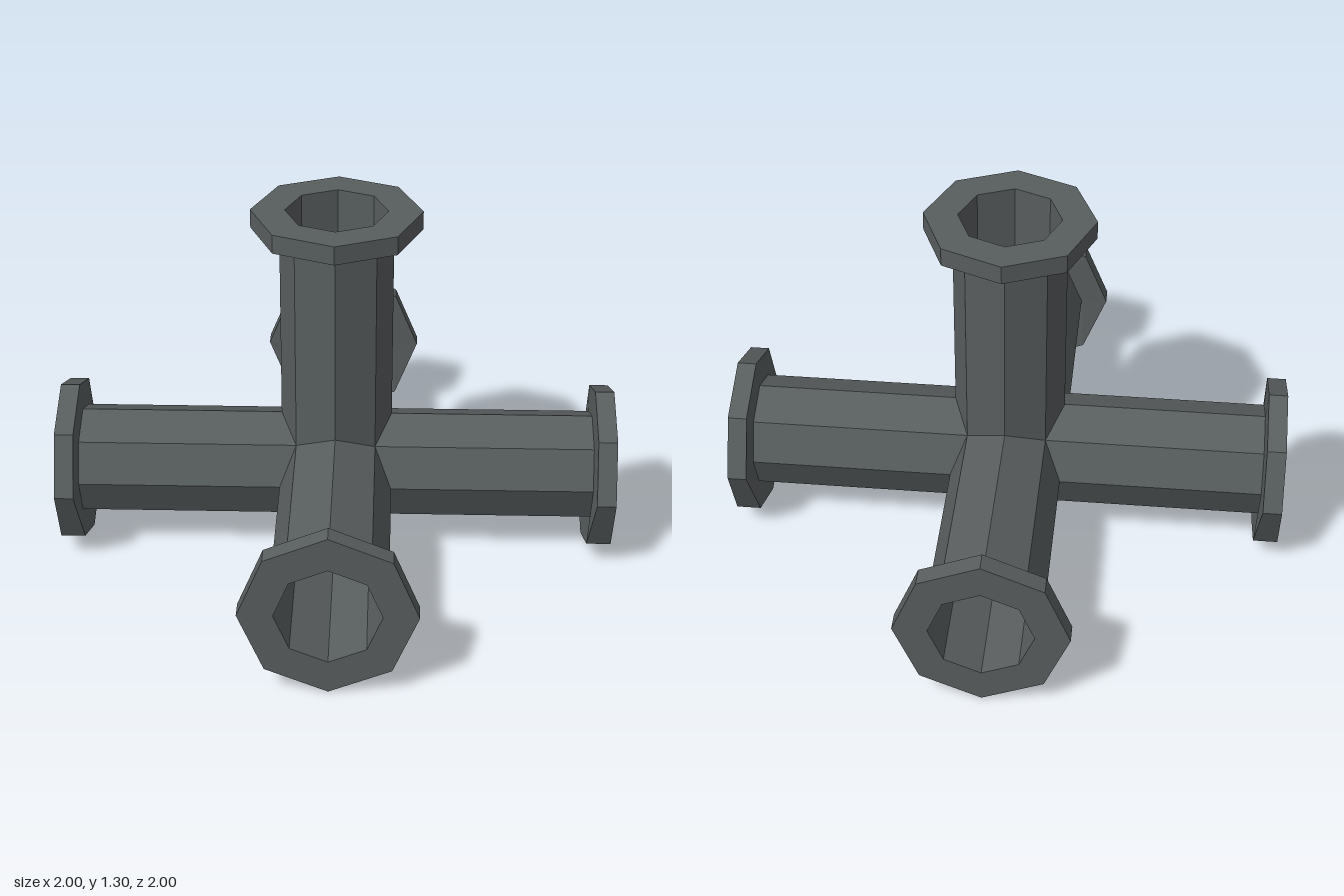
import * as THREE from 'three';

const SIDES = 8, PIPE_R = 0.2, BORE_R = 0.18, RIM_R = 0.3, CENTRE_Y = 0.3;
const UP = new THREE.Vector3(0, 1, 0);
const DIRS = [
  ['right', new THREE.Vector3(-1, 0, 0)],
  ['left', new THREE.Vector3(1, 0, 0)],
  ['front', new THREE.Vector3(0, 0, 1)],
  ['back', new THREE.Vector3(0, 0, -1)],
  ['top', UP],
];

// Joins successive octagonal rings into a faceted skin
function skin(rings) {
  const pos = [];
  for (let j = 0; j < rings.length - 1; j++) {
    for (let k = 0; k < SIDES; k++) {
      const n = (k + 1) % SIDES;
      const a = rings[j][k], b = rings[j][n], c = rings[j + 1][n], d = rings[j + 1][k];
      for (const p of [a, b, c, a, c, d]) pos.push(p.x, p.y, p.z);
    }
  }
  const geo = new THREE.BufferGeometry();
  geo.setAttribute('position', new THREE.Float32BufferAttribute(pos, 3));
  geo.computeVertexNormals();
  return geo;
}

function makeArm(name, axis, material) {
  const vertical = axis === UP;
  const v = vertical ? new THREE.Vector3(0, 0, 1) : UP;
  const u = new THREE.Vector3().crossVectors(v, axis);
  const neighbours = DIRS.map((d) => d[1]).filter((d) => Math.abs(d.dot(axis)) < 0.5);

  // Octagon of radius r; along(point, sine) gives each corner's distance down the arm
  const ring = (r, along) => Array.from({ length: SIDES }, (_, k) => {
    const t = (k / SIDES) * Math.PI * 2;
    const p = new THREE.Vector3().addScaledVector(u, r * Math.cos(t)).addScaledVector(v, r * Math.sin(t));
    return p.addScaledVector(axis, along(p, Math.sin(t)));
  });
  // Mitre where the arm meets its neighbours
  const mitre = (p) => Math.max(...neighbours.map((d) => d.dot(p)));
  // The flange is a little thicker at the bottom of the level arms
  const rimBack = (p, s) => (!vertical && s < -0.1 ? 0.912 : 0.932);

  const root = ring(PIPE_R, () => 0.926);
  const mouth = ring(BORE_R, () => 1);
  const parts = {
    Pipe: [ring(PIPE_R, mitre), root],
    Flange: [root, ring(RIM_R, rimBack), ring(RIM_R, () => 1), mouth],
    Bore: [mouth, ring(BORE_R, mitre)],
  };
  const arm = new THREE.Group();
  arm.name = name + 'Arm';
  for (const [part, rings] of Object.entries(parts)) {
    const mesh = new THREE.Mesh(skin(rings), material);
    mesh.name = name + part;
    arm.add(mesh);
  }
  arm.position.y = CENTRE_Y;
  return arm;
}

export function createModel() {
  const iron = new THREE.MeshStandardMaterial({ color: 0x585d5e });
  iron.name = 'dark iron';
  iron.flatShading = true;

  const model = new THREE.Group();
  model.name = 'fiveWayPipe';
  for (const [name, axis] of DIRS) model.add(makeArm(name, axis, iron));
  return model;
}
